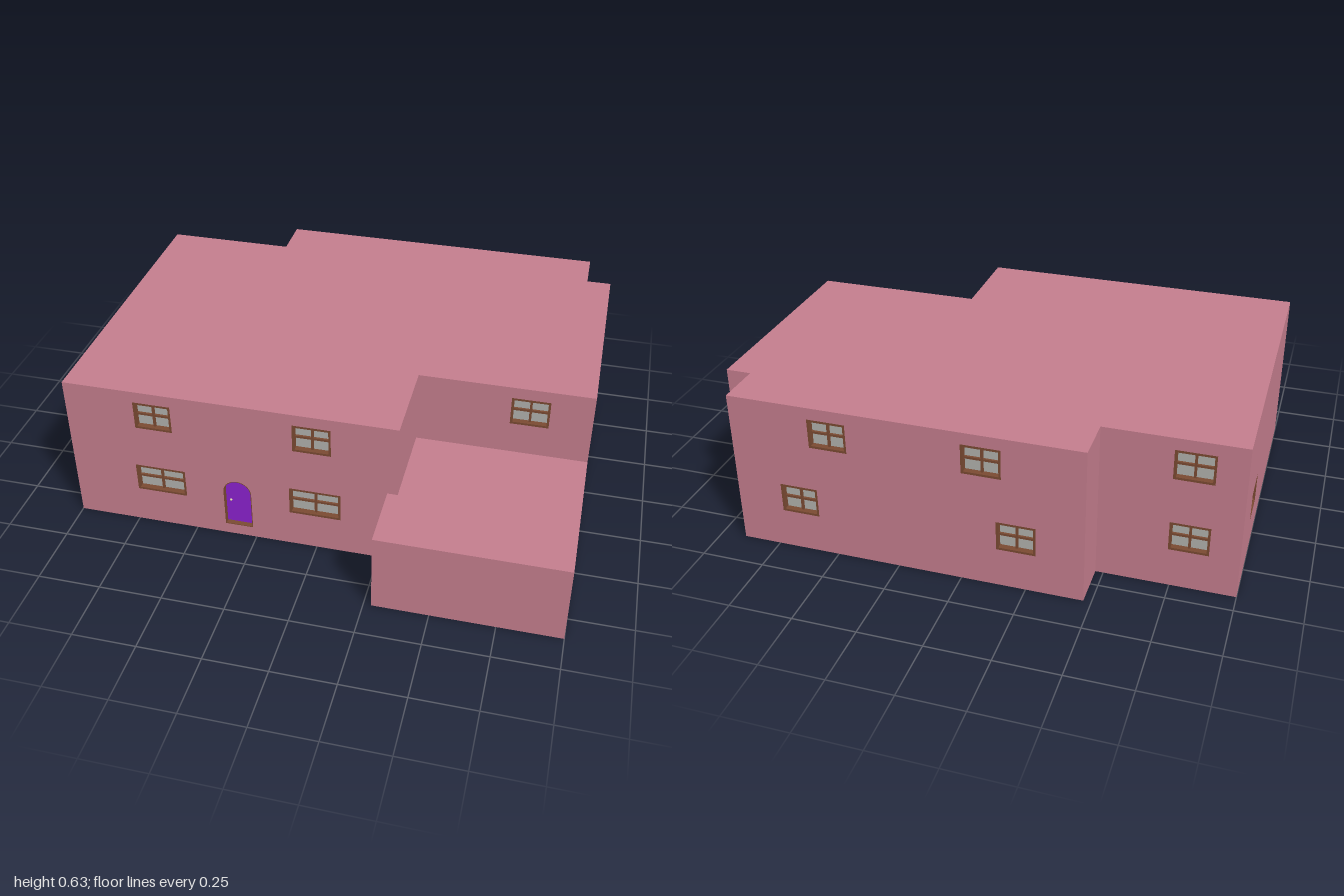
import * as THREE from 'three';

const mat = (color, side = THREE.FrontSide) => new THREE.MeshStandardMaterial({ color, side });
const wallMat = mat(0xc47d8d, THREE.DoubleSide);
const frameMat = mat(0x7a4a32);
const glassMat = mat(0xb0b0ac);
const doorMat = mat(0x8a22cc);
const knobMat = mat(0xe0d0b0);

const DEPTH = 0.025; // how far panes sit behind the wall face
const STOREY = 0.33, TOP = 0.633;

function mesh(name, geometry, material, x = 0, y = 0, z = 0) {
  const m = new THREE.Mesh(geometry, material);
  m.name = name;
  m.position.set(x, y, z);
  return m;
}

// Outline of an opening, centred on x = 0 with its sill at y = 0
function outline(w, h, arched, Type = THREE.Shape) {
  const s = new Type();
  s.moveTo(-w / 2, 0);
  s.lineTo(w / 2, 0);
  if (arched) {
    s.lineTo(w / 2, h - w / 2);
    s.absarc(0, h - w / 2, w / 2, 0, Math.PI, false);
  } else {
    s.lineTo(w / 2, h);
    s.lineTo(-w / 2, h);
  }
  s.closePath();
  return s;
}

// Frame lining the opening from the wall face back to the pane
function liner(w, h, arched, t) {
  const s = outline(w, h, arched);
  const hole = outline(w - 2 * t, h - 2 * t, arched, THREE.Path);
  s.holes.push(new THREE.Path(hole.getPoints(12).map(p => new THREE.Vector2(p.x, p.y + t))));
  return new THREE.ExtrudeGeometry(s, { depth: DEPTH, bevelEnabled: false, curveSegments: 12 });
}

function makeWindow({ w, h }) {
  const g = new THREE.Group();
  g.name = 'window';
  const bar = 0.009;
  g.add(
    mesh('windowFrame', liner(w, h, false, bar), frameMat, 0, 0, -DEPTH),
    mesh('glass', new THREE.PlaneGeometry(w, h), glassMat, 0, h / 2, -DEPTH + 0.002),
    mesh('verticalBar', new THREE.BoxGeometry(bar, h, 0.01), frameMat, 0, h / 2, -DEPTH + 0.006),
    mesh('horizontalBar', new THREE.BoxGeometry(w, bar, 0.01), frameMat, 0, h / 2, -DEPTH + 0.006)
  );
  return g;
}

function makeDoor({ w, h }) {
  const g = new THREE.Group();
  g.name = 'door';
  g.add(
    mesh('doorFrame', liner(w, h, true, 0.003), frameMat, 0, 0, -DEPTH),
    mesh('doorLeaf', new THREE.ShapeGeometry(outline(w, h, true)), doorMat, 0, 0, -DEPTH + 0.005),
    mesh('doorKnob', new THREE.SphereGeometry(0.005, 10, 8), knobMat, -0.034, 0.113, -DEPTH + 0.008)
  );
  return g;
}

// Wall between two plan points, seen from outside left to right, with openings cut out
function makeWall([x1, z1], [x2, z2], height, openings = []) {
  const g = new THREE.Group();
  g.name = 'wall';
  g.position.set(x1, 0, z1);
  g.rotation.y = Math.atan2(z1 - z2, x2 - x1);
  const length = Math.hypot(x2 - x1, z2 - z1);
  const s = outline(length, height);
  for (const o of openings) {
    const u = o.at - length / 2;
    const pts = outline(o.w, o.h, o.door, THREE.Path).getPoints(12);
    s.holes.push(new THREE.Path(pts.map(p => new THREE.Vector2(p.x + u, p.y + o.y))));
    const part = o.door ? makeDoor(o) : makeWindow(o);
    part.position.set(o.at, o.y, 0);
    g.add(part);
  }
  g.add(mesh('wallPanel', new THREE.ShapeGeometry(s), wallMat, length / 2));
  return g;
}

// Storey walls around a plan; openings are listed per wall index
function makeStorey(name, plan, y, height, openings) {
  const g = new THREE.Group();
  g.name = name;
  g.position.y = y;
  plan.forEach((p, i) => g.add(makeWall(p, plan[(i + 1) % plan.length], height, openings[i])));
  return g;
}

function slab(name, plan, y) {
  const s = new THREE.Shape(plan.map(([x, z]) => new THREE.Vector2(x, -z)));
  return mesh(name, new THREE.ShapeGeometry(s).rotateX(-Math.PI / 2), wallMat, 0, y, 0);
}

export function createModel() {
  const house = new THREE.Group();
  house.name = 'house';

  // Plans run anticlockwise seen from above, starting at the front wall
  const rear = [[1, -0.67], [0.9, -0.67], [0.9, -0.852], [-0.47, -0.852], [-0.47, -0.67], [-1, -0.67]];
  const ground = [[-1, 0.587], [0.28, 0.587], [0.28, 0.852], [1, 0.852], ...rear];
  const upper = [[-1, 0.587], [0.32, 0.587], [0.32, 0.22], [1, 0.22], ...rear];
  const extension = [[0.32, 0.22], [0.32, 0.587], [0.28, 0.587], [0.28, 0.852], [1, 0.852], [1, 0.22]];

  // Openings: distance along the wall, sill height in the storey
  const low = at => ({ at, y: 0.16, w: 0.15, h: 0.12 });
  const high = at => ({ at, y: 0.135, w: 0.15, h: 0.12 });
  const wide = at => ({ at, y: 0.158, w: 0.205, h: 0.122 });

  house.add(
    makeStorey('groundStorey', ground, 0, STOREY, {
      0: [wide(0.365), { at: 0.68, y: 0.047, w: 0.114, h: 0.223, door: true }, wide(0.995)],
      6: [low(0.257), low(1.113)],
      8: [low(0.342)],
      9: [low(0.34)]
    }),
    makeStorey('upperStorey', upper, STOREY, TOP - STOREY, {
      0: [high(0.357), high(0.987)],
      2: [high(0.44)],
      6: [high(0.394), high(0.985)],
      8: [high(0.342)]
    }),
    slab('floor', ground, 0),
    slab('extensionRoof', extension, STOREY),
    slab('mainRoof', upper, TOP)
  );
  return house;
}
